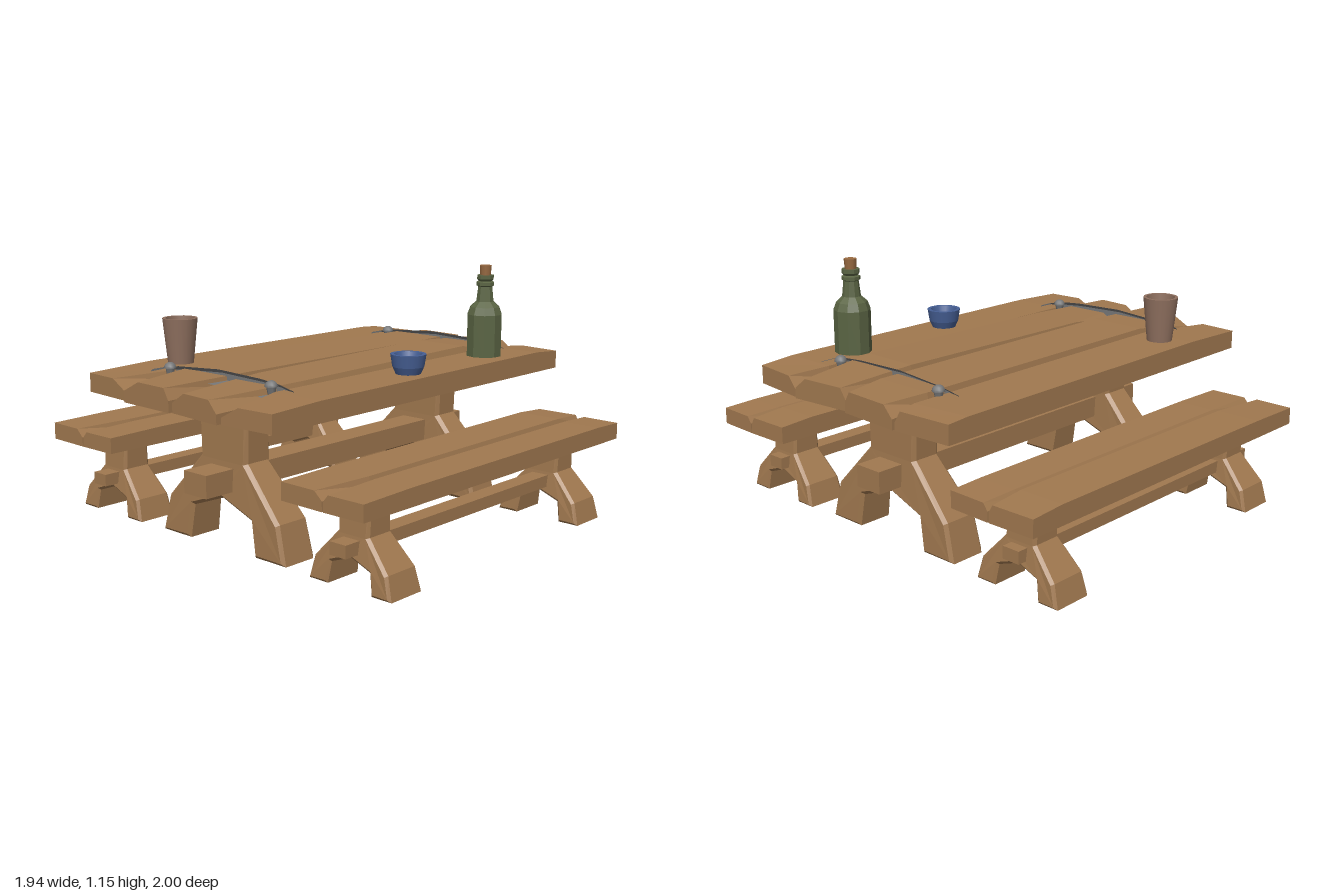
import * as THREE from 'three';

const mat = (name, color) => {
  const m = new THREE.MeshStandardMaterial({ color });
  m.name = name;
  return m;
};

// Joins equal-length cross-sections (counter-clockwise seen from +z, ordered from -z to +z) into a capped solid
function loft(sections) {
  const n = sections[0].length, pos = [];
  const tri = (a, b, c) => pos.push(...a, ...b, ...c);
  for (let s = 0; s < sections.length - 1; s++) {
    const A = sections[s], B = sections[s + 1];
    for (let i = 0; i < n; i++) {
      const j = (i + 1) % n;
      tri(A[i], A[j], B[j]);
      tri(A[i], B[j], B[i]);
    }
  }
  const first = sections[0], last = sections[sections.length - 1];
  for (let i = 1; i < n - 1; i++) {
    tri(first[0], first[i + 1], first[i]);
    tri(last[0], last[i], last[i + 1]);
  }
  const g = new THREE.BufferGeometry();
  g.setAttribute('position', new THREE.Float32BufferAttribute(pos, 3));
  g.computeVertexNormals();
  return g;
}

// Rough plank: each station is [z at left, z at right, top y, left chamfer width, right chamfer width]
function plank(x0, x1, y0, drop, stations) {
  return loft(stations.map(([zl, zr, top, cl, cr]) => [
    [x0, y0], [x1, y0],
    [x1, top - (cr ? drop : 0)], [x1 - Math.max(cr, 0.004), top],
    [x0 + Math.max(cl, 0.004), top], [x0, top - (cl ? drop : 0)],
  ].map(([x, y]) => [x, y, zl + (zr - zl) * (x - x0) / (x1 - x0)])));
}

// Splayed trestle from half of its outline; thickness grows from the top to the feet
function trestle(half, topDepth, footDepth, neckY, bevel) {
  const left = half.filter(p => p[0] > 0).reverse().map(([x, y]) => [-x, y]);
  const shape = new THREE.Shape([...half, ...left].map(p => new THREE.Vector2(...p)));
  const g = new THREE.ExtrudeGeometry(shape, {
    depth: 1 - 2 * bevel, bevelEnabled: true, bevelSegments: 1,
    bevelSize: bevel, bevelOffset: -bevel, bevelThickness: bevel * 2,
  });
  g.translate(0, 0, -(1 - 2 * bevel) / 2);
  const p = g.attributes.position, reach = 0.5 + bevel;
  for (let i = 0; i < p.count; i++) {
    const t = THREE.MathUtils.clamp(1 - p.getY(i) / neckY, 0, 1);
    const depth = topDepth + (footDepth - topDepth) * Math.sqrt(t);
    const z = p.getZ(i), edge = Math.abs(z) > 0.5 - bevel + 1e-4;
    p.setZ(i, Math.sign(z) * (edge ? depth / 2 : Math.min(depth / 2 - bevel, Math.abs(z) / reach * depth)));
  }
  g.computeVertexNormals();
  return g;
}

export function createModel() {
  const wood = mat('wood', 0xa0784f);
  const iron = mat('iron', 0x777879);
  const glass = mat('green glass', 0x5a6443);
  const cork = mat('cork', 0x9a6b42);
  const clay = mat('brown clay', 0x8f705f);
  const glaze = mat('blue glaze', 0x465f94);
  glass.flatShading = true;

  const model = new THREE.Group();
  model.name = 'picnicTable';
  const add = (parent, name, geometry, material, x = 0, y = 0, z = 0) => {
    const m = new THREE.Mesh(geometry, material);
    m.name = name;
    m.position.set(x, y, z);
    parent.add(m);
    return m;
  };
  const group = (name, x = 0, y = 0, z = 0) => {
    const g = new THREE.Group();
    g.name = name;
    g.position.set(x, y, z);
    model.add(g);
    return g;
  };

  // Table top
  const table = group('table');
  const boards = [
    [-0.6, -0.32, [[-0.88, -0.995, 0.72, 0, 0.04], [-0.87, -0.9, 0.727, 0, 0.01], [0.6, 0.6, 0.73, 0, 0.012], [0.935, 0.955, 0.72, 0, 0.1]]],
    [-0.31, -0.008, [[-1, -0.985, 0.73, 0.05, 0.03], [-0.8, -0.8, 0.742, 0.01, 0.01], [0.6, 0.6, 0.742, 0.01, 0.01], [0.975, 0.985, 0.735, 0.1, 0.03]]],
    [0.004, 0.298, [[-0.97, -1, 0.73, 0.03, 0.06], [-0.6, -0.6, 0.752, 0.01, 0.015], [0.5, 0.5, 0.738, 0.01, 0.015], [0.975, 1, 0.728, 0.08, 0.05]]],
    [0.31, 0.575, [[-0.99, -0.965, 0.718, 0.05, 0], [-0.8, -0.8, 0.73, 0.01, 0], [0.7, 0.7, 0.726, 0.01, 0], [0.985, 0.968, 0.715, 0.09, 0]]],
  ];
  // the first board has one cut corner at its back end
  boards[0][2][0] = [-0.975, -0.995, 0.72, 0, 0.03];
  for (const [x0, x1, st] of boards) add(table, 'tableBoard', plank(x0, x1, 0.635, 0.05, st), wood);

  // Table trestles and stretcher
  const tableLeg = trestle([
    [0, 0.22], [0.18, 0.155], [0.205, 0], [0.385, 0], [0.345, 0.17], [0.142, 0.39], [0.152, 0.64],
  ], 0.145, 0.19, 0.39, 0.015);
  add(table, 'tableTrestle', tableLeg, wood, 0, 0, 0.63);
  add(table, 'tableTrestle', tableLeg, wood, 0, 0, -0.665);
  const bar = (w, y0, y1, zb, zf, skew) => loft([[zb, skew], [zf, -skew]].map(([z, k]) => [
    [-w, y0, z + k], [w, y0, z + k], [w, y1, z], [-w, y1, z],
  ]));
  add(table, 'tableStretcher', bar(0.07, 0.26, 0.36, -0.87, 0.86, 0), wood);

  // Two matching benches
  const benchLeg = trestle([
    [0, 0.128], [0.1, 0.092], [0.115, 0], [0.215, 0], [0.19, 0.1], [0.08, 0.222], [0.083, 0.352],
  ], 0.13, 0.2, 0.23, 0.012);
  for (const x of [-0.755, 0.745]) {
    const bench = group('bench', x);
    add(bench, 'benchBoard', plank(-0.22, 0.002, 0.35, 0.035, [
      [-0.915, -0.92, 0.428, 0, 0.02], [-0.75, -0.75, 0.438, 0, 0.01], [0.6, 0.6, 0.432, 0, 0.01], [0.875, 0.88, 0.427, 0, 0.04],
    ]), wood);
    add(bench, 'benchBoard', plank(0.008, 0.21, 0.35, 0.03, [
      [-0.92, -0.915, 0.425, 0.022, 0], [-0.75, -0.75, 0.43, 0.018, 0], [0.6, 0.6, 0.428, 0.018, 0], [0.88, 0.878, 0.422, 0.025, 0],
    ]), wood);
    add(bench, 'benchTrestle', benchLeg, wood, 0.002, 0, 0.635);
    add(bench, 'benchTrestle', benchLeg, wood, 0.002, 0, -0.675);
    add(bench, 'benchStretcher', bar(0.042, 0.15, 0.205, -0.8, 0.79, 0), wood);
  }

  // Arched iron straps with round nail heads
  const arch = [[-0.405, 0.735], [-0.31, 0.75], [-0.05, 0.768], [0.2, 0.76], [0.31, 0.75], [0.392, 0.732]];
  const strapGeo = loft(arch.map(([x, y]) => [
    [-0.052, y - 0.045], [0.052, y - 0.045], [0.052, y - 0.016], [0.034, y], [-0.034, y], [-0.052, y - 0.016],
  ].map(([z, h]) => [-z, h, x])));
  strapGeo.rotateY(Math.PI / 2);
  for (const [z, dx, yaw] of [[-0.755, 0, -0.02], [0.705, 0, 0.01]]) {
    const strap = group('strap', dx, 0, z);
    strap.rotation.y = yaw;
    add(strap, 'strapBand', strapGeo, iron);
    for (const x of [-0.325, 0.3]) {
      const head = add(strap, 'nailHead', new THREE.SphereGeometry(0.028, 10, 4, 0, Math.PI * 2, 0, Math.PI / 2), iron, x, 0.745, 0);
      head.scale.y = 0.95;
      add(strap, 'nailShank', new THREE.CylinderGeometry(0.022, 0.008, 0.07, 6), iron, x, 0.71, 0);
    }
  }

  // Turned vessels
  const lathe = (pts, sides) => new THREE.LatheGeometry(pts.map(p => new THREE.Vector2(...p)), sides);
  const creased = pts => pts.flatMap(p => [p, p.slice()]);
  const turned = (parent, name, pts, sides, material) => {
    for (let i = 0; i < pts.length - 1; i++) {
      add(parent, name, lathe([pts[i], pts[i + 1]], sides), material);
    }
  };

  const mug = group('mug', -0.463, 0, 0.53);
  turned(mug, 'mugWall', [[0, 0.725], [0.058, 0.725], [0.08, 0.935], [0.066, 0.935], [0.05, 0.76], [0, 0.76]], 20, clay);

  const bowl = group('bowl', 0.462, 0, 0.03);
  turned(bowl, 'bowlWall', [[0, 0.72], [0.052, 0.72], [0.07, 0.76], [0.079, 0.815], [0.062, 0.815], [0.042, 0.755], [0, 0.755]], 20, glaze);

  const bottle = group('bottle', 0.43, 0, -0.568);
  add(bottle, 'bottleGlass', lathe([
    [0, 0.725], [0.083, 0.725], [0.083, 0.925], [0.07, 0.96], [0.042, 0.985], [0.034, 1.055],
    [0.042, 1.06], [0.042, 1.075], [0.032, 1.08], [0.04, 1.09], [0.04, 1.108], [0, 1.108],
  ], 10), glass);
  add(bottle, 'bottleCork', new THREE.CylinderGeometry(0.029, 0.025, 0.05, 10), cork, 0, 1.128, 0);

  return model;
}
